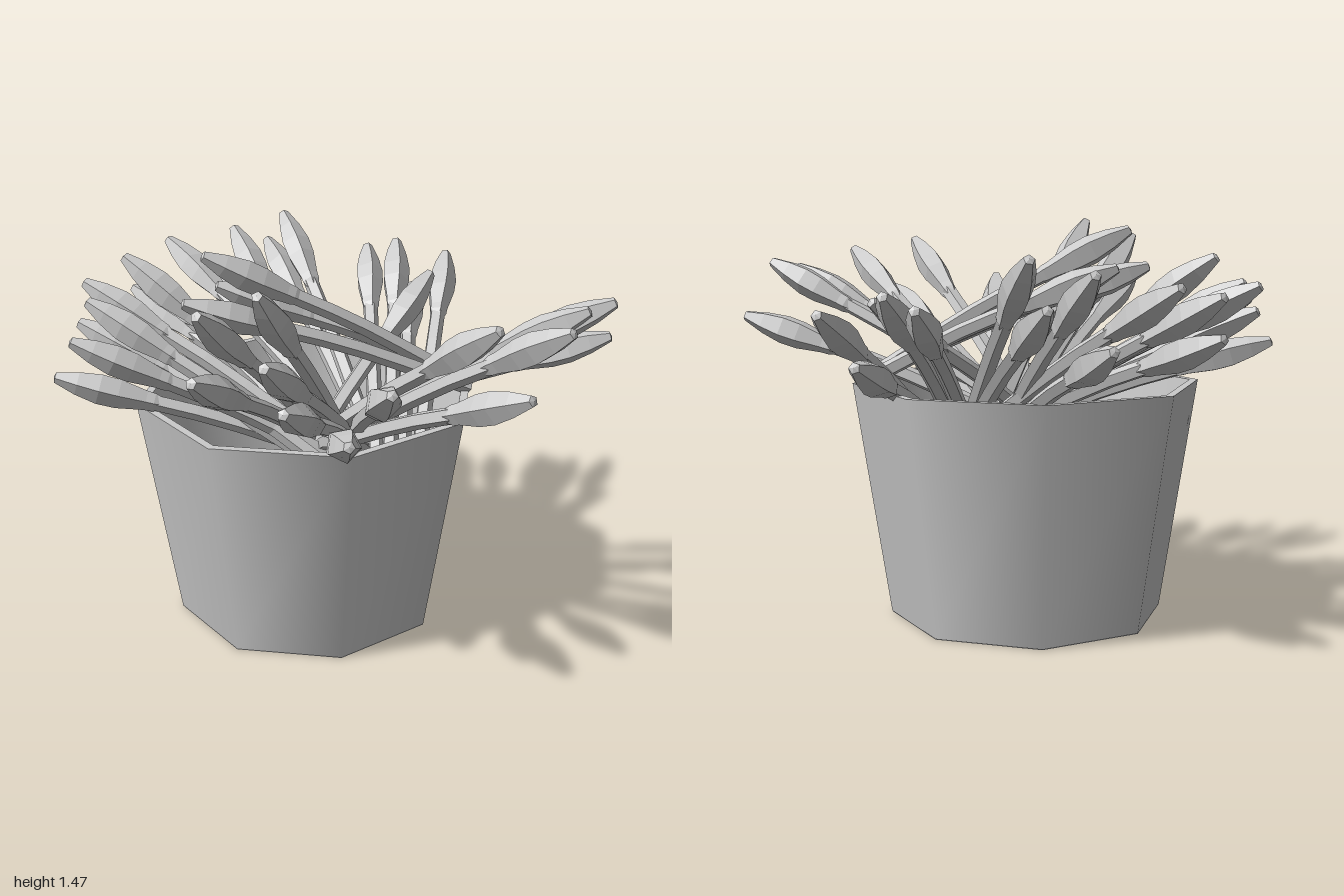
import * as THREE from 'three';

const mat = new THREE.MeshStandardMaterial({ color: 0xcccccc, side: THREE.DoubleSide });
const flat = new THREE.MeshStandardMaterial({ color: 0xcccccc, flatShading: true, side: THREE.DoubleSide });

function add(parent, name, geometry, material, y = 0) {
  const mesh = new THREE.Mesh(geometry, material);
  mesh.name = name;
  mesh.position.y = y;
  parent.add(mesh);
  return mesh;
}

// Eight-sided tapered planter, open at the top
function createPot() {
  const pot = new THREE.Group();
  pot.name = 'pot';
  pot.position.set(-0.065, 0, -0.057);
  add(pot, 'outerWall', new THREE.CylinderGeometry(0.647, 0.512, 0.87, 8, 1, true), mat, 0.445);
  add(pot, 'innerWall', new THREE.CylinderGeometry(0.615, 0.48, 0.87, 8, 1, true), mat, 0.445);
  add(pot, 'rim', new THREE.RingGeometry(0.615, 0.647, 8).rotateX(-Math.PI / 2), mat, 0.88);
  add(pot, 'floor', new THREE.CircleGeometry(0.48, 8).rotateX(-Math.PI / 2), mat, 0.012);
  add(pot, 'underside', new THREE.CircleGeometry(0.512, 8).rotateX(Math.PI / 2), mat, 0.008);
  return pot;
}

// Closed bud: a flared collar, a long five-sided body and a blunt tip
const BUD_LENGTH = 0.365;
const budProfile = [[0.026, -0.03], [0.036, 0], [0.038, 0.03], [0.056, 0.13],
  [0.058, 0.2], [0.044, 0.28], [0.02, 0.36], [0, BUD_LENGTH]].map(([r, y]) => new THREE.Vector2(r, y));
const budGeometry = new THREE.LatheGeometry(budProfile, 5);
const UP = new THREE.Vector3(0, 1, 0);

// One flower from its root to the tip of its bud, bending slightly outward
function createFlower(root, tip) {
  const flower = new THREE.Group();
  flower.name = 'flower';
  const dir = tip.clone().sub(root).normalize();
  dir.y -= 0.04;
  dir.normalize();
  const neck = tip.clone().addScaledVector(dir, -BUD_LENGTH);
  const bend = neck.clone().addScaledVector(dir, -0.25);
  const path = new THREE.CatmullRomCurve3([root, bend, neck]);
  add(flower, 'stem', new THREE.TubeGeometry(path, 5, 0.031, 5), flat);
  const bud = add(flower, 'bud', budGeometry, flat);
  bud.position.copy(neck);
  bud.quaternion.setFromUnitVectors(UP, dir);
  return flower;
}

// Clusters of flowers: a shared root and the bud tips, all x, y, z
const clusters = [
  { root: [0.1, 0.62, 0.12], tips: [[-0.03, 1.21, -0.98], [-0.24, 1.08, -0.96], [-0.2, 1.31, -0.83], [0.01, 1.36, -0.83]] },
  { root: [0.1, 0.62, 0.2], tips: [[-0.47, 1.27, -0.86], [-0.63, 1.1, -0.78], [-0.65, 1.23, -0.69]] },
  { root: [0.06, 0.62, 0.24], tips: [[-0.7, 1.35, -0.37], [-0.85, 1.25, -0.41], [-0.89, 1.15, -0.24], [-0.86, 1.25, -0.17]] },
  { root: [0.08, 0.64, 0.18], tips: [[-1.0, 1.02, -0.04], [-0.94, 1.18, 0.05]] },
  { root: [0.1, 0.62, -0.02], tips: [[-0.62, 1.26, 0.75], [-0.57, 1.41, 0.56], [-0.4, 1.3, 0.78], [-0.36, 1.18, 0.87], [-0.38, 1.47, 0.59]] },
  { root: [0.03, 0.62, -0.08], tips: [[-0.18, 1.1, 0.98], [-0.03, 1.23, 0.92]] },
  { root: [-0.08, 0.62, -0.06], tips: [[0.33, 1.39, 0.87], [0.42, 1.18, 0.95], [0.59, 1.35, 0.84]] },
  { root: [-0.1, 0.7, 0], tips: [[1.0, 1.11, 0.27], [0.91, 1.31, 0.47], [0.81, 1.29, 0.48]] },
  { root: [0.19, 0.62, 0.26], tips: [[0.68, 1.18, -0.69], [0.56, 1.02, -0.79], [0.37, 1.2, -0.81], [0.47, 1.24, -0.72]] },
  { root: [-0.2, 0.62, 0.2], tips: [[0.51, 1.2, -0.37]] },
  // Stems leaning across the top from the far side
  { root: [0.52, 0.89, 0.03], tips: [[-0.46, 1.44, 0], [-0.55, 1.3, 0.09], [-0.4, 1.3, -0.09]] },
];

export function createModel() {
  const model = new THREE.Group();
  model.name = 'pottedFlowers';
  model.add(createPot());

  const bunch = new THREE.Group();
  bunch.name = 'bunch';
  for (const { root, tips } of clusters) {
    // Set the stems of a cluster side by side, across its direction
    const middle = new THREE.Vector3();
    tips.forEach((t) => middle.add(new THREE.Vector3(...t).divideScalar(tips.length)));
    const across = middle.sub(new THREE.Vector3(...root)).cross(UP).normalize();
    tips.forEach((t) => {
      const tip = new THREE.Vector3(...t);
      const start = new THREE.Vector3(...root);
      const offset = tip.clone().sub(start).dot(across);
      start.addScaledVector(across, THREE.MathUtils.clamp(offset * 0.7, -0.07, 0.07));
      bunch.add(createFlower(start, tip));
    });
  }
  model.add(bunch);
  return model;
}
